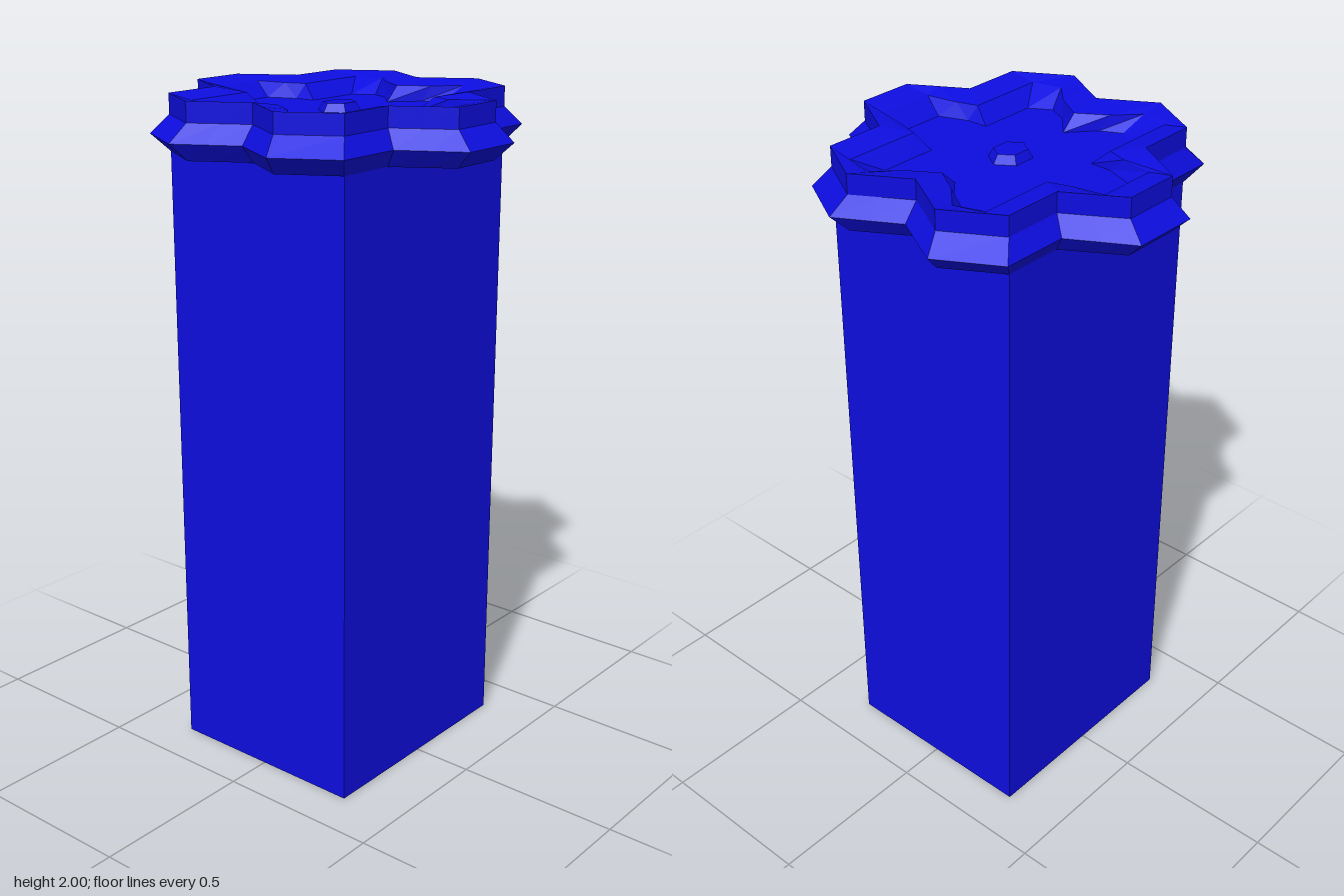
import * as THREE from 'three';

// Mirror one quadrant (from the +x notch to the +z petal) into a closed outline
function outline(q) {
  const n = q.length;
  const pts = q.map(([x, z]) => [x, z]);
  for (let i = n - 1; i >= 0; i--) pts.push([-q[i][0], q[i][1]]);
  for (let i = 1; i < n; i++) pts.push([-q[i][0], -q[i][1]]);
  for (let i = n - 1; i > 0; i--) pts.push([q[i][0], -q[i][1]]);
  return pts;
}

// Skin a stack of outlines and close both ends with fans
function loft(rings) {
  const pos = [];
  const tri = (...p) => p.forEach((v) => pos.push(...v));
  const loops = rings.map(([q, y]) => outline(q).map(([x, z]) => [x, y, z]));
  const n = loops[0].length;
  const low = [0, rings[0][1], 0];
  const last = loops[loops.length - 1];
  const high = [0, rings[rings.length - 1][1], 0];
  for (let i = 0; i < n; i++) {
    const k = (i + 1) % n;
    for (let j = 0; j + 1 < loops.length; j++) {
      const a = loops[j], b = loops[j + 1];
      tri(a[i], b[i], a[k]);
      tri(a[k], b[i], b[k]);
    }
    tri(low, loops[0][i], loops[0][k]);
    tri(high, last[k], last[i]);
  }
  const g = new THREE.BufferGeometry();
  g.setAttribute('position', new THREE.Float32BufferAttribute(pos, 3));
  g.computeVertexNormals();
  return g;
}

export function createModel() {
  const group = new THREE.Group();
  const material = new THREE.MeshStandardMaterial({ color: 0x0d0de0, flatShading: true });
  const add = (name, geometry, y) => {
    const mesh = new THREE.Mesh(geometry, material);
    mesh.name = name;
    mesh.position.y = y;
    group.add(mesh);
    return mesh;
  };

  // Rectangular column
  add('column', new THREE.BoxGeometry(0.72, 1.84, 0.63), 0.92);

  // Six-petal flower cap with a bevelled rim and a shallow bowl
  const wide = [[0.405, 0], [0.455, 0.087], [0.505, 0.175], [0.405, 0.35],
    [0.303, 0.35], [0.202, 0.35], [0.152, 0.437], [0.102, 0.525]];
  const rim = [[0.362, 0], [0.408, 0.078], [0.455, 0.156], [0.362, 0.315],
    [0.271, 0.315], [0.181, 0.315], [0.133, 0.395], [0.085, 0.474]];
  const ledge = [[0.265, 0], [0.32, 0.085], [0.388, 0.15], [0.364, 0.237],
    [0.245, 0.237], [0.128, 0.237], [0.108, 0.3], [0.09, 0.395]];
  const floor = [[0.219, 0], [0.295, 0.067], [0.325, 0.128], [0.287, 0.19],
    [0.2, 0.19], [0.109, 0.19], [0.107, 0.255], [0.075, 0.34]];
  add('flowerCap', loft([
    [rim, 1.84], [wide, 1.89], [rim, 1.942], [rim, 2], [ledge, 1.985], [floor, 1.942],
  ]), 0);

  // Small hexagonal stud at the flower's centre
  const stud = add('centreStud', new THREE.CylinderGeometry(0.053, 0.073, 0.03, 6, 1, false, Math.PI / 6), 1.951);
  stud.scale.z = 0.84;

  return group;
}
